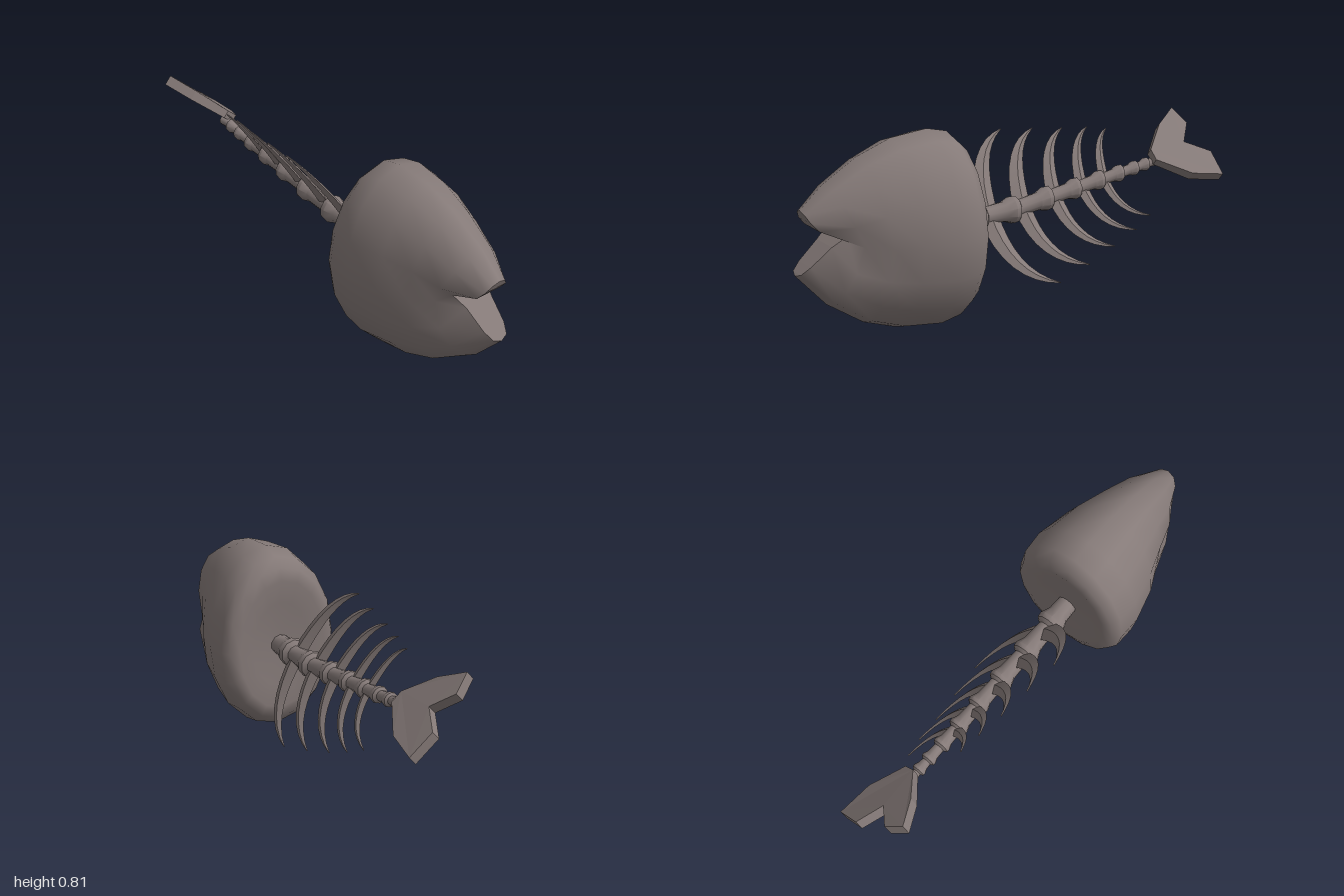
import * as THREE from 'three';
import { toCreasedNormals } from 'three/addons/utils/BufferGeometryUtils.js';

const bone = new THREE.MeshStandardMaterial({ color: 0x857a78 });
bone.name = 'bone';

// Skin a list of closed rings (arrays of Vector3), always facing outward
function loft(rings) {
  const n = rings[0].length, pts = rings.flat(), index = [];
  for (let i = 0; i < rings.length - 1; i++)
    for (let j = 0; j < n; j++) {
      const a = i * n + j, b = i * n + (j + 1) % n;
      index.push(a, a + n, b, b, a + n, b + n);
    }
  let volume = 0;
  const c = new THREE.Vector3(), mid = rings[rings.length >> 1][0];
  for (let k = 0; k < index.length; k += 3) {
    const [p, q, r] = [0, 1, 2].map(o => pts[index[k + o]].clone().sub(mid));
    volume += p.dot(c.crossVectors(q, r));
  }
  if (volume < 0) index.reverse();
  const g = new THREE.BufferGeometry().setFromPoints(pts);
  g.setIndex(index);
  g.computeVertexNormals();
  return g;
}

function add(parent, name, geometry) {
  const m = new THREE.Mesh(geometry, bone);
  m.name = name;
  parent.add(m);
  return m;
}

// Height of the spine at a given z
function spineY(z) {
  return z > 0 ? 0.42 - z * 0.04 : 0.42 - z * 0.145;
}

function buildHead(group) {
  const N = 16;
  // z at side, z at top, z at bottom, top y, bottom y, half width, side pinch
  const sections = [
    [0.285, 0.285, 0.285, 0.41, 0.41, 0, 1],
    [0.280, 0.280, 0.280, 0.60, 0.22, 0.13, 1],
    [0.266, 0.266, 0.266, 0.70, 0.12, 0.20, 1],
    [0.275, 0.280, 0.280, 0.755, 0.065, 0.245, 1],
    [0.31, 0.32, 0.32, 0.795, 0.025, 0.267, 1],
    [0.41, 0.41, 0.41, 0.816, 0.003, 0.271, 1],
    [0.55, 0.57, 0.57, 0.800, 0.018, 0.237, 1],
    [0.66, 0.72, 0.71, 0.745, 0.065, 0.190, 0.97],
    [0.755, 0.87, 0.87, 0.655, 0.170, 0.150, 0.80],
  ];
  const rings = sections.map(([zs, zt, zb, top, bot, w, pinch]) =>
    Array.from({ length: N }, (_, j) => {
      const a = (j / N) * Math.PI * 2, c = Math.cos(a), s = Math.sin(a);
      const z = zs + ((c > 0 ? zt : zb) - zs) * Math.abs(c);
      const x = w * s * (j % 8 === 4 ? pinch : 1);
      return new THREE.Vector3(x, (top + bot) / 2 + c * (top - bot) / 2, z);
    }));

  // Lip edge, from the upper lip round the mouth corner to the lower lip
  const lip = [
    [0, 0.567, 0.97], [0.033, 0.555, 0.965], [0.055, 0.525, 0.95], [0.066, 0.49, 0.92],
    [0.088, 0.46, 0.815], [0.066, 0.42, 0.87], [0.053, 0.35, 0.955], [0.035, 0.32, 0.99],
    [0, 0.31, 1.0],
  ];
  const mouth = Array.from({ length: N }, (_, j) => {
    const [x, y, z] = lip[j <= 8 ? j : N - j];
    return new THREE.Vector3(j <= 8 ? x : -x, y, z);
  });
  add(group, 'head', loft([...rings, mouth]));

  // Floor and roof of the open mouth
  const tris = [];
  for (let k = 8; k > 0; k--) {
    const l = mouth[(N - k) % N], r = mouth[k], l2 = mouth[(N - k + 1) % N], r2 = mouth[k - 1];
    if (k < 8) tris.push(l, r, r2);
    if (k > 1) tris.push(l, r2, l2);
  }
  const inner = new THREE.BufferGeometry().setFromPoints(tris);
  inner.computeVertexNormals();
  add(group, 'mouthInside', inner);
}

function buildSpine(group) {
  // Each vertebra flares toward the tail, then steps in to the next
  const flares = [[0.17, 0.062], [0.005, 0.058], [-0.16, 0.052], [-0.305, 0.046],
    [-0.43, 0.042], [-0.535, 0.037], [-0.615, 0.032], [-0.675, 0.029]];
  const profile = [[0.3, 0.042]];
  for (const [z, r] of flares) {
    const s = r / 0.06;
    profile.push([z + 0.05 * s, r * 0.74], [z + 0.01 * s, r], [z - 0.012 * s, r * 0.95],
      [z - 0.025 * s, r * 0.6]);
  }
  profile.push([-0.73, 0.022]);
  const rings = profile.map(([z, r]) => Array.from({ length: 10 }, (_, j) => {
    const a = (j / 10) * Math.PI * 2;
    return new THREE.Vector3(r * Math.sin(a), spineY(z) + r * Math.cos(a), z);
  }));
  add(group, 'spine', toCreasedNormals(loft(rings), 0.7));
}

// Curved, tapering blade that leaves the spine and sweeps back to its tip
function buildRib(group, name, rootZ, width, tip) {
  const root = new THREE.Vector3(0, spineY(rootZ), rootZ);
  const control = root.clone().lerp(tip, 0.8).setZ(rootZ - 0.01);
  const curve = new THREE.QuadraticBezierCurve3(root, control, tip);
  const out = tip.clone().sub(root).setZ(0).normalize();
  const normal = new THREE.Vector3(-out.y, out.x, 0);
  const rings = [];
  for (let i = 0; i <= 8; i++) {
    const t = i / 8, p = curve.getPoint(t), tan = curve.getTangent(t);
    const side = new THREE.Vector3().crossVectors(tan, normal).normalize();
    const w = width * 0.5 * (1 - t ** 1.5) + 0.002;
    const d = width * 0.18 * (1 - t) + 0.003;
    rings.push([[w, 0], [0, d], [-w, 0], [0, -d]].map(([a, b]) =>
      p.clone().addScaledVector(side, a).addScaledVector(normal, b)));
  }
  rings.push(rings[8].map(() => tip.clone()));
  add(group, name, toCreasedNormals(loft(rings), 0.5));
}

function buildTail(group) {
  // Forked fin: u across the fin, z along the body
  const outline = [[-0.045, -0.70], [-0.145, -0.84], [-0.175, -0.99], [-0.05, -0.995],
    [0.02, -0.885], [0.115, -0.955], [0.205, -0.92], [0.13, -0.81], [0.01, -0.70]];
  const shape = new THREE.Shape(outline.map(([u, z]) => new THREE.Vector2(u, -z)));
  const g = new THREE.ExtrudeGeometry(shape, { depth: 0.044, bevelEnabled: false });
  g.translate(0, 0, -0.022);
  // Thin the fin where it meets the spine
  const p = g.attributes.position;
  for (let i = 0; i < p.count; i++) if (p.getY(i) < 0.75) p.setZ(i, p.getZ(i) * 0.8);
  const across = new THREE.Vector3(-0.75, 0.66, 0).normalize();
  const along = new THREE.Vector3(0, 0, -1);
  const basis = new THREE.Matrix4().makeBasis(across, along, across.clone().cross(along));
  g.applyMatrix4(basis.setPosition(0, 0.56, 0));
  g.computeVertexNormals();
  add(group, 'tailFin', g);
}

export function createModel() {
  const group = new THREE.Group();
  group.name = 'fishSkeleton';
  buildHead(group);
  buildSpine(group);
  buildTail(group);

  // Ribs: root z, root width, upper tip, lower tip
  const ribs = [
    [0.125, 0.09, [-0.188, 0.717, -0.055], [0.19, 0.135, -0.107]],
    [-0.04, 0.08, [-0.17, 0.705, -0.20], [0.17, 0.18, -0.267]],
    [-0.20, 0.068, [-0.152, 0.692, -0.34], [0.15, 0.23, -0.41]],
    [-0.34, 0.055, [-0.132, 0.685, -0.455], [0.137, 0.28, -0.53]],
    [-0.455, 0.045, [-0.115, 0.67, -0.545], [0.117, 0.325, -0.62]],
  ];
  ribs.forEach(([z, w, up, low], i) => {
    buildRib(group, `upperRib${i + 1}`, z, w, new THREE.Vector3(...up));
    buildRib(group, `lowerRib${i + 1}`, z, w, new THREE.Vector3(...low));
  });
  return group;
}
